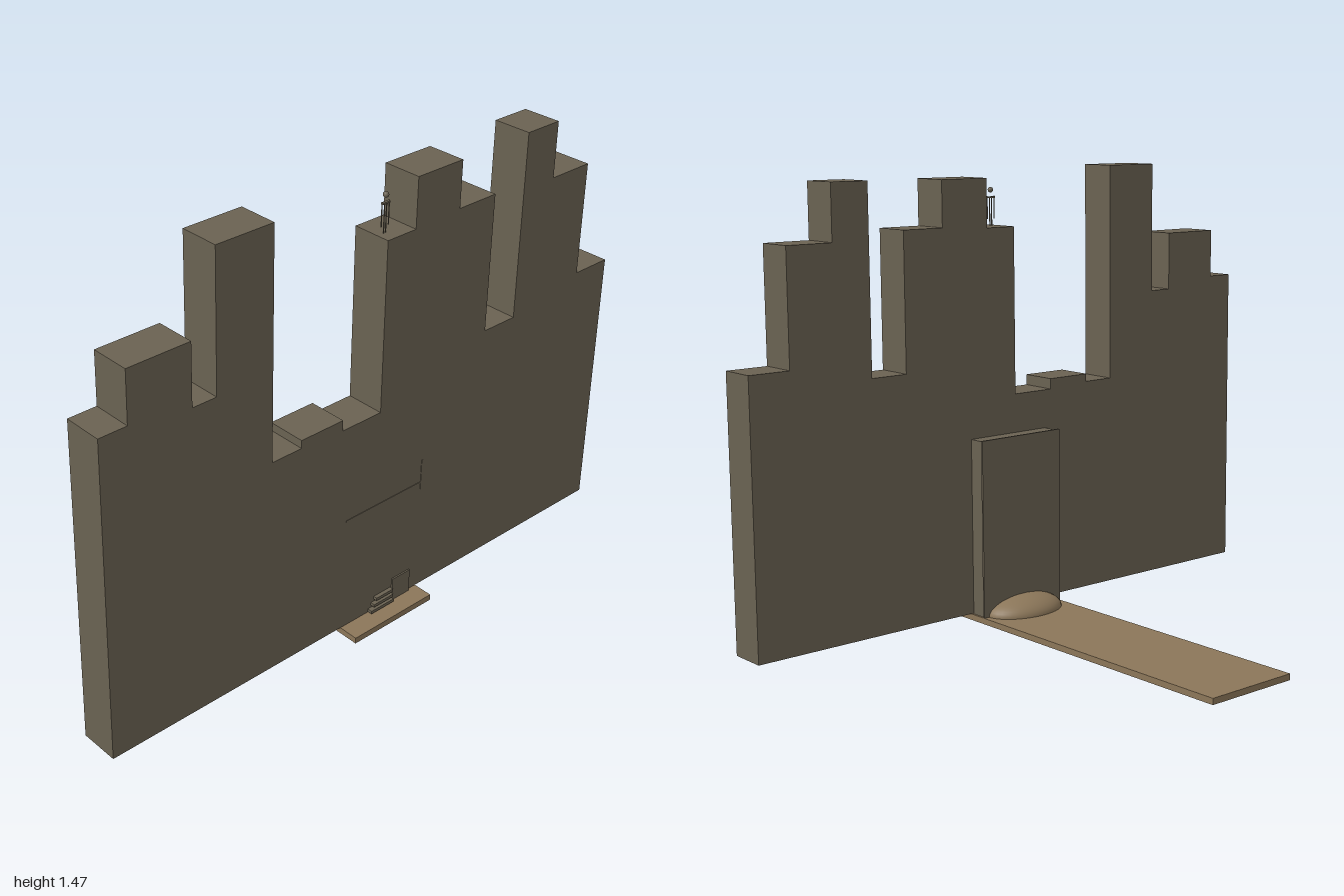
import * as THREE from 'three';

export function createModel() {
  const model = new THREE.Group();
  model.name = 'ruinedWallWithPath';

  const stone = new THREE.MeshStandardMaterial({ color: 0x6a6252 });
  stone.name = 'weathered stone';
  const earth = new THREE.MeshStandardMaterial({ color: 0x8b7659 });
  earth.name = 'packed earth';

  function add(name, geometry, material, parent = model) {
    const mesh = new THREE.Mesh(geometry, material);
    mesh.name = name;
    parent.add(mesh);
    return mesh;
  }
  // Box given by its minimum and maximum on each axis
  function block(name, [x0, x1], [y0, y1], [z0, z1], material = stone, parent = model) {
    const mesh = add(name, new THREE.BoxGeometry(x1 - x0, y1 - y0, z1 - z0), material, parent);
    mesh.position.set((x0 + x1) / 2, (y0 + y1) / 2, (z0 + z1) / 2);
    return mesh;
  }

  // Ruined wall: stepped skyline as [right edge, height]
  const base = 0.022;
  const skyline = [
    [-0.907, 1.065], [-0.697, 1.23], [-0.615, 1.033], [-0.417, 1.473], [-0.308, 0.744],
    [-0.148, 0.77], [0.003, 0.735], [0.113, 1.286], [0.291, 1.445], [0.44, 1.295],
    [0.568, 0.846], [0.7, 1.45], [0.86, 1.27], [1, 0.9],
  ];
  const outline = new THREE.Shape();
  outline.moveTo(-1, base);
  outline.lineTo(1, base);
  let right = 1;
  for (let i = skyline.length - 1; i >= 0; i--) {
    const left = i > 0 ? skyline[i - 1][0] : -1;
    outline.lineTo(right, skyline[i][1]);
    outline.lineTo(left, skyline[i][1]);
    right = left;
  }
  outline.closePath();
  const wall = add('wall', new THREE.ExtrudeGeometry(outline, { depth: 0.127, bevelEnabled: false }), stone);
  wall.position.z = 0.46;

  // Gate block behind the wall, closed by a thin slab
  block('gateBlock', [-0.122, 0.188], [0.02, 0.606], [0.4, 0.462]);
  block('gateSlab', [-0.13, 0.195], [0.02, 0.61], [0.394, 0.401]);

  // Path running through the gate
  block('path', [-0.13, 0.195], [0, 0.02], [-0.652, 0.652], earth);

  // Earth mound at the foot of the gate
  const mound = add('mound', new THREE.SphereGeometry(1, 40, 12, 0, Math.PI * 2, 0, Math.PI / 2), earth);
  mound.scale.set(0.145, 0.055, 0.104);
  mound.position.set(0.031, 0.02, 0.398);

  // Shallow joints on the front face
  block('frontJoint', [-0.122, 0.195], [0.407, 0.413], [0.585, 0.5885]);
  block('frontJointEnd', [0.191, 0.196], [0.385, 0.49], [0.585, 0.5885]);

  // Fallen stones at the foot of the front face
  const rubble = new THREE.Group();
  rubble.name = 'rubble';
  model.add(rubble);
  block('rubbleSlab', [0.085, 0.16], [0.02, 0.1], [0.58, 0.592], stone, rubble);
  for (let i = 0; i < 3; i++) {
    block('rubbleBar', [-0.015 + i * 0.012, 0.08], [0.024 + i * 0.018, 0.034 + i * 0.018],
      [0.58, 0.604 - i * 0.002], stone, rubble);
  }

  // Slender finial on the broken wall top
  const finial = new THREE.Group();
  finial.name = 'finial';
  finial.position.set(0.031, 1.28, 0.545);
  model.add(finial);
  add('finialKnob', new THREE.SphereGeometry(0.009, 12, 8), stone, finial).position.y = 0.122;
  for (const side of [-1, 1]) {
    for (const [x, y, h] of [[0.004, 0.05, 0.1], [0.014, 0.065, 0.075]]) {
      add('finialRod', new THREE.CylinderGeometry(0.0018, 0.0018, h, 6), stone, finial)
        .position.set(side * x, y, 0);
    }
  }
  add('finialBand', new THREE.BoxGeometry(0.03, 0.005, 0.008), stone, finial).position.y = 0.098;

  return model;
}
